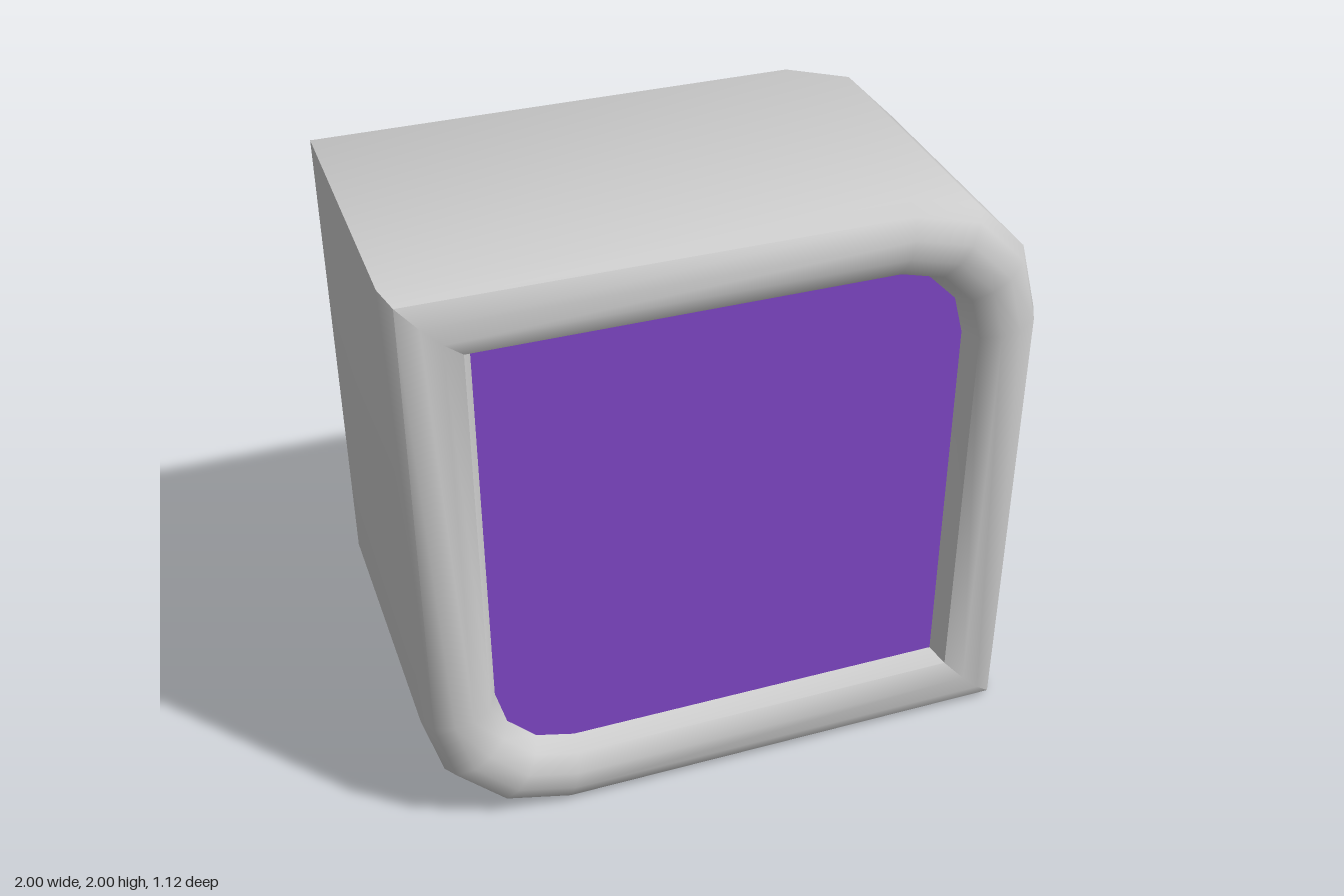
import * as THREE from 'three';
import { toCreasedNormals } from 'three/addons/utils/BufferGeometryUtils.js';

// Square outline, counter-clockwise, with two opposite corners rounded.
function outline(inset) {
  const h = 1 - inset, r = 0.45 - inset * 0.83, c = h - r, pts = [];
  for (const s of [1, -1]) {
    pts.push(new THREE.Vector2(s * h, -s * h)); // sharp corner
    for (let i = 0; i <= 3; i++) { // rounded corner
      const a = (i / 3) * Math.PI / 2;
      pts.push(new THREE.Vector2(s * (c + r * Math.cos(a)), s * (c + r * Math.sin(a))));
    }
  }
  return pts;
}

// Skin between outlines; each profile entry is [inset, z].
function loft(profile) {
  const pos = [], index = [], n = outline(0).length;
  for (const [inset, z] of profile) for (const p of outline(inset)) pos.push(p.x, p.y, z);
  for (let r = 0; r < profile.length - 1; r++) {
    for (let i = 0; i < n; i++) {
      const j = (i + 1) % n, a = r * n + i, b = r * n + j;
      index.push(a, b, b + n, a, b + n, a + n);
    }
  }
  const g = new THREE.BufferGeometry();
  g.setAttribute('position', new THREE.Float32BufferAttribute(pos, 3));
  g.setIndex(index);
  return toCreasedNormals(g, 0.9);
}

export function createModel() {
  const group = new THREE.Group();
  const grey = new THREE.MeshStandardMaterial({ color: 0xcccccc });
  const purple = new THREE.MeshStandardMaterial({ color: 0x8048c8 });
  const add = (name, geometry, material) => {
    const mesh = new THREE.Mesh(geometry, material);
    mesh.name = name;
    mesh.position.y = 1;
    group.add(mesh);
  };

  // Casing: bevelled back edge, straight walls, rounded front rim
  add('casing', loft([
    [0.1, -0.56], [0.03, -0.53], [0, -0.47],
    [0, 0.47], [0.03, 0.53], [0.09, 0.56],
    [0.15, 0.56], [0.21, 0.53], [0.24, 0.47],
  ]), grey);

  // Flat back
  const mirrored = outline(0.1).map((p) => new THREE.Vector2(-p.x, p.y));
  const back = new THREE.ShapeGeometry(new THREE.Shape(mirrored));
  back.rotateY(Math.PI).translate(0, 0, -0.56);
  add('backPanel', back, grey);

  // Recessed coloured face
  const face = new THREE.ShapeGeometry(new THREE.Shape(outline(0.24)));
  face.translate(0, 0, 0.47);
  add('frontPanel', face, purple);

  return group;
}
